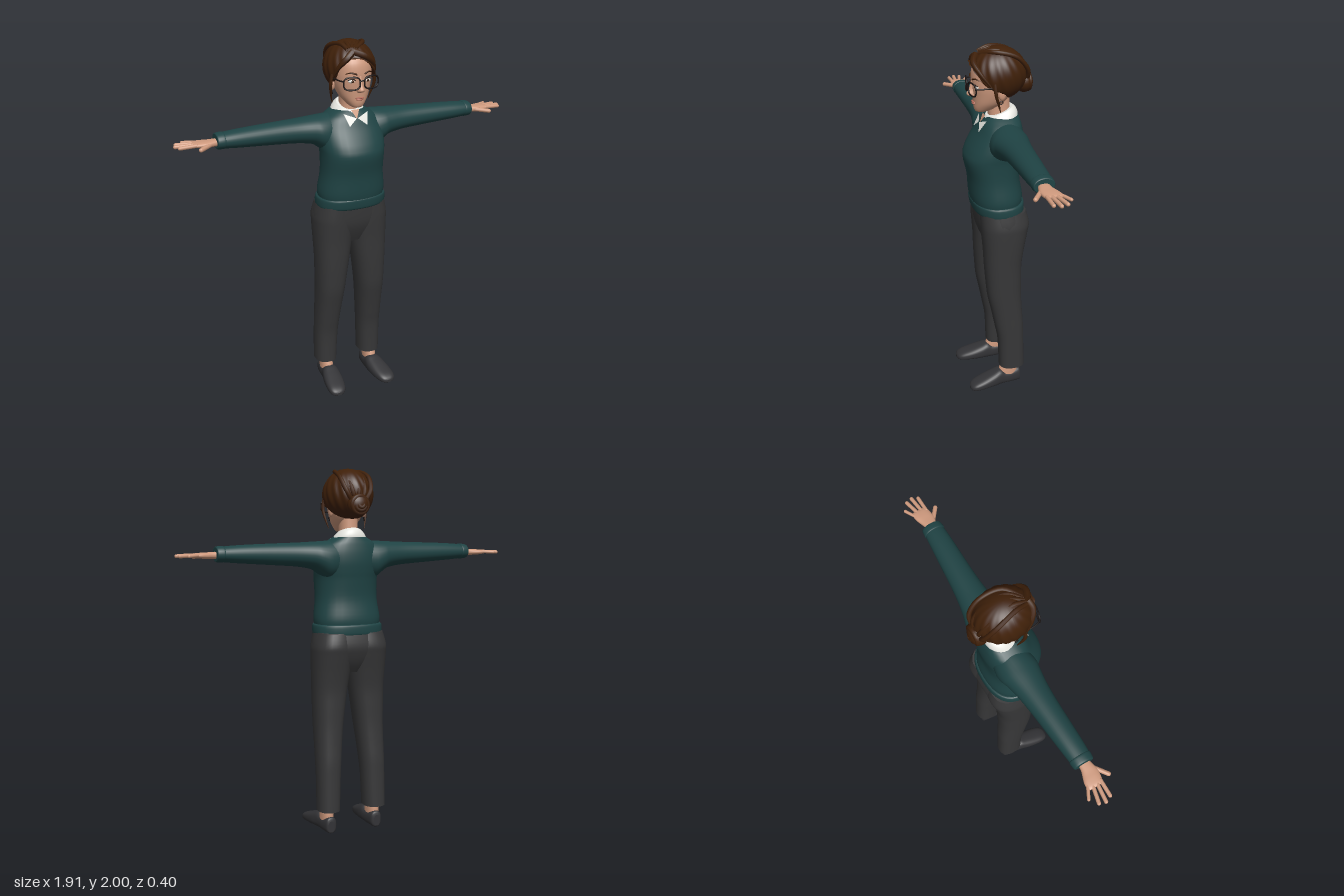
import * as THREE from 'three';

const mat = (name, color, side = THREE.FrontSide) => {
  const m = new THREE.MeshStandardMaterial({ color, side });
  m.name = name;
  return m;
};

// Smooth body through rows [t, a0, a1, b0, b1]; t ascends along the axis.
// Axis y: a = z, b = x. Axis x: a = y, b = z. Axis z: a = x, b = y.
function loft(axis, rows, power = 2.2, steps = 4, sides = 32) {
  const rings = [];
  for (let i = 0; i < rows.length - 1; i++) {
    const p = [rows[Math.max(i - 1, 0)], rows[i], rows[i + 1], rows[Math.min(i + 2, rows.length - 1)]];
    for (let s = 0; s < steps; s++) {
      const u = s / steps;
      rings.push(p[1].map((v, k) => {
        const m0 = (p[2][k] - p[0][k]) / 2, m1 = (p[3][k] - v) / 2, d = p[2][k] - v;
        return v + u * m0 + u * u * (3 * d - 2 * m0 - m1) + u * u * u * (m0 + m1 - 2 * d);
      }));
    }
  }
  rings.push(rows[rows.length - 1]);
  const pos = [], idx = [];
  const put = (t, a, b) => pos.push(...(axis === 'y' ? [b, t, a] : axis === 'x' ? [t, a, b] : [a, b, t]));
  const bend = v => Math.sign(v) * Math.abs(v) ** (2 / power);
  const ring = ([t, a0, a1, b0, b1]) => {
    for (let j = 0; j < sides; j++) {
      const w = j / sides * Math.PI * 2;
      put(t, (a0 + a1) / 2 + (a1 - a0) / 2 * bend(Math.cos(w)), (b0 + b1) / 2 + (b1 - b0) / 2 * bend(Math.sin(w)));
    }
  };
  rings.forEach(ring);
  for (let i = 0; i < rings.length - 1; i++) for (let j = 0; j < sides; j++) {
    const a = i * sides + j, b = i * sides + (j + 1) % sides;
    idx.push(a, b, b + sides, a, b + sides, a + sides);
  }
  // End caps
  for (const end of [0, 1]) {
    const r = rings[end ? rings.length - 1 : 0], base = pos.length / 3;
    ring(r);
    put(r[0], (r[1] + r[2]) / 2, (r[3] + r[4]) / 2);
    for (let j = 0; j < sides; j++) {
      const a = base + j, b = base + (j + 1) % sides;
      idx.push(base + sides, end ? a : b, end ? b : a);
    }
  }
  const g = new THREE.BufferGeometry();
  g.setAttribute('position', new THREE.Float32BufferAttribute(pos, 3));
  g.setIndex(idx);
  g.computeVertexNormals();
  return g;
}

// Rows [y, zBack, zFront, halfWidth] for bodies symmetric in x
const bodyLoft = (rows, power, steps) => loft('y', rows.map(([y, b, f, w]) => [y, b, f, -w, w]), power, steps);

const V = (x, y, z) => new THREE.Vector3(x, y, z);
const ball = (x, y, z, rx, ry, rz) => new THREE.SphereGeometry(1, 24, 16).scale(rx, ry, rz).translate(x, y, z);
const tube = (pts, r, closed = false) =>
  new THREE.TubeGeometry(new THREE.CatmullRomCurve3(pts, closed), closed ? 48 : 20, r, 8, closed);

// Tube that thins to a point
function strand(pts, r) {
  const g = tube(pts, r), curve = new THREE.CatmullRomCurve3(pts), p = g.attributes.position;
  for (let i = 0; i < p.count; i++) {
    const u = Math.floor(i / 9) / 20, c = curve.getPointAt(u);
    const v = V().fromBufferAttribute(p, i).sub(c).multiplyScalar(1 - 0.85 * u * u).add(c);
    p.setXYZ(i, v.x, v.y, v.z);
  }
  g.computeVertexNormals();
  return g;
}

function capsule(a, b, r) {
  const d = b.clone().sub(a), len = d.length();
  const g = new THREE.CapsuleGeometry(r, len, 5, 12);
  g.applyQuaternion(new THREE.Quaternion().setFromUnitVectors(V(0, 1, 0), d.normalize()));
  return g.translate((a.x + b.x) / 2, (a.y + b.y) / 2, (a.z + b.z) / 2);
}

function triangle(...pts) {
  const g = new THREE.BufferGeometry().setFromPoints(pts);
  g.setIndex([0, 1, 2]);
  g.computeVertexNormals();
  return g;
}

function mirrored(geo) {
  const g = geo.clone().scale(-1, 1, 1), ix = g.index.array;
  for (let i = 0; i < ix.length; i += 3) [ix[i], ix[i + 1]] = [ix[i + 1], ix[i]];
  return g;
}

export function createModel() {
  const skin = mat('skin', 0xcf9a7e), wool = mat('green wool', 0x1f4344), cloth = mat('trouser grey', 0x373738);
  const leather = mat('shoe grey', 0x333336), brown = mat('hair brown', 0x3f2009), dark = mat('frame black', 0x1c1514);
  const white = mat('collar white', 0xe6e6e0, THREE.DoubleSide), lip = mat('lip', 0xb06a5a);
  const neckSkin = mat('neck skin', 0xcf9a7e, THREE.DoubleSide);
  const root = new THREE.Group();
  const add = (name, geo, m) => {
    const mesh = new THREE.Mesh(geo, m);
    mesh.name = name;
    root.add(mesh);
  };
  const pair = (name, geo, m) => {
    add(name + 'Left', geo, m);
    add(name + 'Right', mirrored(geo), m);
  };

  // Trousers
  pair('trouserLeg', loft('y', [
    [.125, -.127, .02, .077, .2], [.3, -.122, .027, .07, .2], [.4, -.12, .044, .063, .2], [.5, -.113, .063, .054, .2],
    [.6, -.108, .083, .043, .201], [.7, -.108, .092, .03, .203], [.8, -.11, .098, .016, .205], [.9, -.125, .102, .002, .208],
    [1, -.145, .11, -.01, .21], [1.05, -.152, .113, -.01, .208], [1.12, -.135, .115, -.01, .192]], 2.4), cloth);
  add('trouserHips', bodyLoft([[.9, -.09, .07, .09], [.95, -.12, .092, .16], [1, -.14, .109, .2],
    [1.05, -.15, .117, .208], [1.13, -.135, .122, .192]], 2.5), cloth);

  // Shoes and ankles
  pair('shoe', loft('z', [[-.105, .122, .158, .006, .07], [-.095, .107, .169, 0, .09], [-.05, .1, .177, 0, .084],
    [-.01, .096, .181, 0, .087], [.02, .093, .187, 0, .1], [.06, .091, .198, 0, .088], [.12, .097, .207, 0, .068],
    [.17, .11, .207, 0, .051], [.195, .126, .195, .003, .037], [.204, .146, .176, .008, .025]], 2.6), leather);
  pair('ankle', loft('y', [[.05, -.085, .035, .105, .175], [.1, -.087, .022, .106, .174], [.15, -.08, 0, .11, .17]]), skin);

  // Sweater
  add('sweaterHem', bodyLoft([[1.105, -.132, .126, .187], [1.115, -.141, .136, .195], [1.155, -.141, .142, .194],
    [1.165, -.134, .139, .186]], 2.4), wool);
  add('sweaterBody', bodyLoft([[1.155, -.13, .138, .182], [1.2, -.133, .146, .186], [1.3, -.118, .154, .173],
    [1.4, -.125, .175, .173], [1.45, -.132, .165, .178], [1.5, -.137, .139, .18], [1.55, -.135, .107, .174],
    [1.595, -.128, .083, .15], [1.62, -.122, .066, .115], [1.637, -.117, .05, .085]], 2.3), wool);
  pair('sleeve', loft('x', [[.06, 1.43, 1.62, -.115, .05], [.13, 1.41, 1.617, -.128, .075], [.18, 1.44, 1.614, -.125, .078],
    [.22, 1.465, 1.612, -.115, .07], [.3, 1.48, 1.608, -.1, .058], [.4, 1.488, 1.605, -.088, .052],
    [.55, 1.498, 1.6, -.075, .05], [.65, 1.505, 1.595, -.066, .049], [.73, 1.513, 1.588, -.058, .045]], 2.1), wool);
  pair('cuff', loft('x', [[.7, 1.512, 1.59, -.06, .046], [.706, 1.508, 1.594, -.064, .05], [.736, 1.51, 1.591, -.061, .047],
    [.742, 1.515, 1.586, -.056, .042]], 2.1), wool);

  // Hands
  pair('palm', loft('x', [[.72, 1.527, 1.565, -.033, .022], [.76, 1.528, 1.563, -.036, .03], [.79, 1.528, 1.561, -.046, .037],
    [.82, 1.53, 1.56, -.056, .034], [.85, 1.534, 1.557, -.058, .028], [.862, 1.541, 1.552, -.05, .02]], 2.5), skin);
  const fingers = { index: [.845, .019, .93, .018], middle: [.85, -.003, .945, -.014], ring: [.847, -.026, .935, -.047], little: [.835, -.046, .895, -.078] };
  for (const [name, [x0, z0, x1, z1]] of Object.entries(fingers))
    pair(name + 'Finger', capsule(V(x0, 1.547, z0), V(x1, 1.544, z1), name === 'little' ? .0085 : .01), skin);
  pair('thumb', capsule(V(.775, 1.543, .022), V(.838, 1.538, .07), .0115), skin);

  // Shirt collar, tilted down to the front
  const collar = bodyLoft([[1.575, -.115, .084, .097], [1.605, -.115, .092, .1], [1.635, -.105, .073, .083],
    [1.655, -.088, .052, .064]], 2.1);
  const cp = collar.attributes.position;
  for (let i = 0; i < cp.count; i++) cp.setY(i, cp.getY(i) - .35 * cp.getZ(i));
  collar.computeVertexNormals();
  add('collar', collar, white);
  add('collarOpening', triangle(V(-.024, 1.643, .064), V(0, 1.598, .088), V(.024, 1.643, .064)), neckSkin);
  pair('collarPoint', triangle(V(.003, 1.603, .092), V(.05, 1.566, .108), V(.07, 1.628, .07)), white);

  // Neck and head
  add('neck', bodyLoft([[1.58, -.088, .045, .06], [1.66, -.075, .042, .05], [1.77, -.07, .05, .05]]), skin);
  add('head', bodyLoft([[1.663, .06, .1, .018], [1.669, .035, .112, .034], [1.69, -.01, .119, .054], [1.72, -.05, .121, .075],
    [1.76, -.08, .124, .09], [1.8, -.09, .128, .098], [1.85, -.1, .13, .102], [1.9, -.1, .121, .098], [1.95, -.08, .09, .07]], 2.2), skin);
  add('nose', bodyLoft([[1.746, .105, .128, .011], [1.754, .1, .149, .019], [1.765, .1, .157, .018],
    [1.79, .1, .143, .011], [1.835, .1, .131, .009]]), skin);
  add('upperLip', ball(0, 1.718, .12, .025, .005, .01), lip);
  add('lowerLip', ball(0, 1.71, .119, .02, .006, .011), lip);
  pair('eye', ball(.043, 1.808, .113, .02, .01, .013), white);
  pair('iris', ball(.043, 1.808, .12, .008, .008, .0085), brown);
  pair('eyelash', tube([V(.023, 1.812, .124), V(.043, 1.82, .124), V(.066, 1.814, .114)], .0025), dark);
  pair('eyebrow', strand([V(.02, 1.843, .13), V(.05, 1.852, .122), V(.078, 1.843, .098)], .0045), brown);
  pair('ear', ball(.098, 1.775, -.005, .012, .032, .02), skin);
  pair('earring', new THREE.TorusGeometry(.009, .002, 6, 16).rotateY(Math.PI / 2).translate(.104, 1.733, .002), dark);

  // Hair cap, lifted along the hairline
  const cap = new THREE.SphereGeometry(1, 96, 48), hp = cap.attributes.position;
  for (let i = 0; i < hp.count; i++) {
    const sx = hp.getX(i), sy = hp.getY(i), sz = hp.getZ(i);
    const ripple = 1 + .018 * (1 - sy * sy) * Math.sin(18 * Math.atan2(sx, sz) + 5 * sy);
    const x = sx * .134 * ripple, y = 1.86 + sy * .14, z = -.01 + sz * .151 * ripple;
    const front = THREE.MathUtils.smoothstep(z, .02, .11);
    const side = 1.725 + .07 * THREE.MathUtils.smoothstep(z, -.09, .03);
    const line = side * (1 - front) + (1.925 - 5 * (x + .03) ** 2) * front;
    hp.setXYZ(i, x, Math.max(y, line), z);
  }
  cap.computeVertexNormals();
  add('hairCap', cap, brown);
  for (const [i, bx] of [-.07, -.035, 0, .035, .07].entries())
    add('hairWave' + i, tube([V(-.03 + bx * .3, 1.965, .085), V(bx * .9, 1.985, .02), V(bx * 1.2, 1.955, -.09),
      V(bx, 1.88, -.152), V(bx * .5, 1.82, -.155)], .012), brown);
  add('fringeLeft', strand([V(-.03, 1.955, .1), V(.03, 1.932, .126), V(.085, 1.885, .102), V(.118, 1.82, .055)], .018), brown);
  add('fringeRight', strand([V(-.03, 1.955, .1), V(-.065, 1.925, .108), V(-.1, 1.88, .085), V(-.12, 1.82, .05)], .018), brown);
  pair('sideLock', strand([V(.118, 1.84, .04), V(.126, 1.78, .035), V(.118, 1.73, .02), V(.105, 1.68, .005)], .01), brown);

  // Bun with coiled strands
  add('bun', ball(0, 1.805, -.15, .062, .06, .047), brown);
  for (const [i, s] of [.95, .6, .28].entries())
    add('bunCoil' + i, new THREE.TorusGeometry(.046 * s, .013, 8, 28).rotateX(.15 * i).translate(0, 1.805, -.172 - .006 * i), brown);

  // Glasses
  const rim = [];
  for (let i = 0; i < 24; i++) {
    const w = i / 24 * Math.PI * 2, r = v => Math.sign(v) * Math.abs(v) ** .7;
    const x = .055 + .043 * r(Math.cos(w));
    rim.push(V(x, 1.802 + .033 * r(Math.sin(w)), .15 - 1.8 * x * x));
  }
  pair('glassesRim', tube(rim, .0042, true), dark);
  add('glassesBridge', tube([V(-.014, 1.81, .15), V(0, 1.815, .153), V(.014, 1.81, .15)], .004), dark);
  pair('glassesTemple', tube([V(.097, 1.815, .133), V(.107, 1.815, .11), V(.112, 1.813, .04), V(.108, 1.795, -.01)], .004), dark);
  return root;
}
